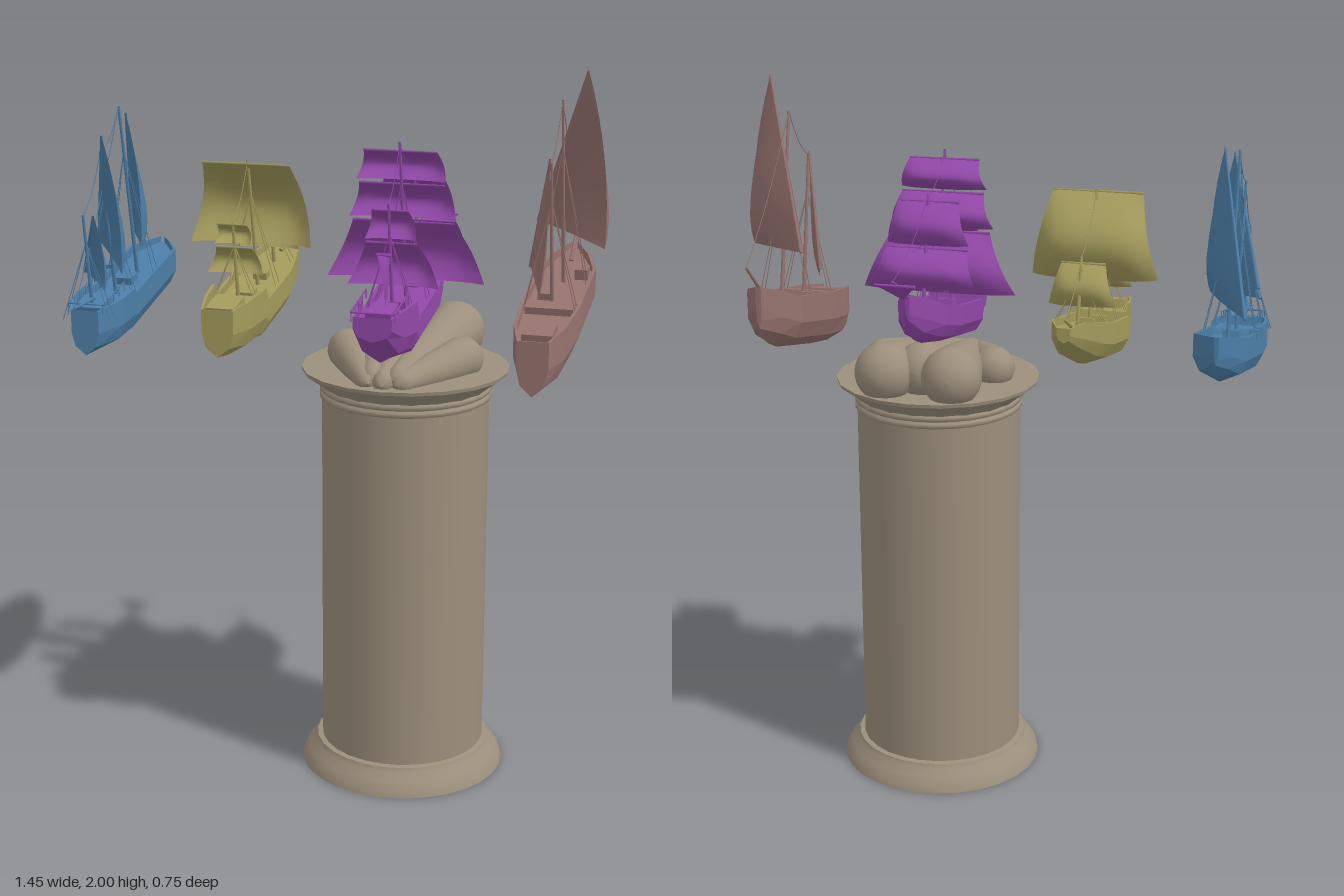
import * as THREE from 'three';

const V = (x, y, z) => new THREE.Vector3(x, y, z);
const mat = (color, opts = {}) => new THREE.MeshStandardMaterial({ color, ...opts });
const UP = V(0, 1, 0);
const PITCH = 0.2; // bow (-z) rises by this slope

function add(parent, name, geometry, material) {
  const mesh = new THREE.Mesh(geometry, material);
  mesh.name = name;
  parent.add(mesh);
  return mesh;
}

// Round spar between two points, tapering to the end
function spar(parent, name, a, b, r, material) {
  const d = b.clone().sub(a);
  const m = add(parent, name, new THREE.CylinderGeometry(r * 0.6, r, d.length(), 6), material);
  m.position.copy(a).addScaledVector(d, 0.5);
  m.quaternion.setFromUnitVectors(UP, d.normalize());
}

// Thin sagging rope
function rope(parent, a, b, sag, material) {
  const mid = a.clone().lerp(b, 0.5);
  mid.y -= sag;
  const curve = new THREE.QuadraticBezierCurve3(a, mid, b);
  add(parent, 'rope', new THREE.TubeGeometry(curve, 10, 0.0012, 4), material);
}

// Hull lofted from stern to bow; each section is [z, half width, keel, deck, rail top]
function hullGeometry(sections) {
  const pos = [], idx = [], n = 11;
  for (const [z, w, keel, deck, top] of sections) {
    const h = top - keel, iw = w * 0.88;
    const ring = [[w, top], [w, keel + h * 0.5], [w * 0.75, keel + h * 0.2], [0, keel],
      [-w * 0.75, keel + h * 0.2], [-w, keel + h * 0.5], [-w, top],
      [-iw, top], [-iw, deck], [iw, deck], [iw, top]];
    for (const [x, y] of ring) pos.push(x, y - PITCH * z, z);
  }
  const last = (sections.length - 1) * n;
  for (let i = 0; i < last; i += n) {
    for (let j = 0; j < n; j++) {
      const k = (j + 1) % n;
      idx.push(i + j, i + k, i + n + j, i + k, i + n + k, i + n + j);
    }
  }
  for (let j = 1; j < 6; j++) {
    idx.push(0, j + 1, j);
    idx.push(last, last + j, last + j + 1);
  }
  const g = new THREE.BufferGeometry();
  g.setAttribute('position', new THREE.Float32BufferAttribute(pos, 3));
  g.setIndex(idx);
  g.computeVertexNormals();
  return g;
}

// Square sail rolled forward like part of a drum, wings swept aft, raked like its mast
function squareSail(parent, mastZ, deckY, [top, bottom, wTop, wBottom], bulge, m) {
  const g = new THREE.PlaneGeometry(1, 1, 12, 8), p = g.attributes.position;
  const zAt = y => mastZ + PITCH * (y - deckY);
  for (let i = 0; i < p.count; i++) {
    const u = p.getX(i) * 2, v = p.getY(i) + 0.5;
    const y = bottom + (top - bottom) * v;
    const belly = Math.sin(Math.PI * v) * (1 - 0.4 * u ** 4) + 0.25 * (1 - v) - 0.45 * u ** 4 * (1 - v);
    p.setXYZ(i, u * (wBottom + (wTop - wBottom) * v) / 2, y, zAt(y) - bulge * belly);
  }
  g.computeVertexNormals();
  add(parent, 'squareSail', g, m.sail);
  spar(parent, 'yard', V(-wTop / 2, top, zAt(top)), V(wTop / 2, top, zAt(top)), 0.004, m.wood);
}

// Three-cornered sail hung from a yard (peak to tack)
function lateenSail(parent, peak, tack, clew, bulge, m) {
  const g = new THREE.PlaneGeometry(1, 1, 10, 8), p = g.attributes.position;
  for (let i = 0; i < p.count; i++) {
    const u = p.getX(i) + 0.5, v = p.getY(i) + 0.5;
    const q = tack.clone().lerp(peak, u).lerp(clew, v);
    q.x += bulge * 4 * v * (1 - v) * Math.sin(Math.PI * (0.05 + 0.8 * u));
    p.setXYZ(i, q.x, q.y, q.z);
  }
  g.computeVertexNormals();
  add(parent, 'lateenSail', g, m.sail);
  spar(parent, 'slantingYard', tack, peak, 0.005, m.wood);
}

function ship(name, x, color, { sections, masts, deck, boxes, bowsprit, squares = [], lateens = [], rail }) {
  const g = new THREE.Group();
  g.name = name;
  g.position.x = x;
  const m = { wood: mat(color), hull: mat(color, { flatShading: true }), sail: mat(color, { side: THREE.DoubleSide }) };
  add(g, 'hull', hullGeometry(sections), m.hull);

  // Cabins and hatches [x, z, width, height, depth]
  for (const [bx, z, w, h, d] of boxes) {
    const b = add(g, 'deckHouse', new THREE.BoxGeometry(w, h, d), m.wood);
    b.position.set(bx, deck - PITCH * z + h / 2, z);
    b.rotation.x = Math.atan(PITCH);
  }

  // Masts [z at deck, tip height], shrouds and stays
  const tips = masts.map(([z, tip]) => V(0, tip, z + PITCH * (tip - deck)));
  masts.forEach(([z], i) => {
    const foot = V(0, deck - PITCH * z - 0.02, z);
    spar(g, 'mast', foot, tips[i], 0.006, m.wood);
    const head = foot.clone().lerp(tips[i], 0.75);
    for (const s of [-1, 1]) for (const dz of [0.02, 0.05]) {
      rope(g, head, V(s * 0.07, deck - PITCH * (z + dz) + 0.01, z + dz), 0, m.wood);
    }
    rope(g, tips[i], i ? tips[i - 1] : bowsprit[1], 0.05, m.wood);
  });
  spar(g, 'bowsprit', ...bowsprit, 0.006, m.wood);

  // Stern railing
  if (rail) {
    const [z0, z1, w, y] = rail;
    const at = (s, z, h) => V(s * w, y + h - PITCH * z, z);
    for (const s of [-1, 1]) {
      spar(g, 'railing', at(s, z0, 0.025), at(s, z1, 0.025), 0.003, m.wood);
      for (let k = 0; k <= 4; k++) {
        const z = z0 + (z1 - z0) * k / 4;
        spar(g, 'railPost', at(s, z, 0), at(s, z, 0.025), 0.002, m.wood);
      }
    }
    spar(g, 'railing', at(-1, z0, 0.025), at(1, z0, 0.025), 0.003, m.wood);
  }
  for (const [z, bulge, ...sails] of squares) sails.forEach(s => squareSail(g, z, deck, s, bulge, m));
  for (const [peak, tack, clew, bulge] of lateens) lateenSail(g, V(...peak), V(...tack), V(...clew), bulge, m);
  return g;
}

// Rounded boulder, slim at the front and bulbous at the back
function boulder(parent, a, b, r, R, material) {
  const d = b.clone().sub(a), L = d.length(), pts = [];
  pts.push(new THREE.Vector2(0, -r), new THREE.Vector2(r * 0.7, -r * 0.7), new THREE.Vector2(r, 0));
  pts.push(new THREE.Vector2((r + R) * 0.53, L * 0.5));
  for (let i = 0; i <= 8; i++) {
    const t = i / 8 * Math.PI / 2;
    pts.push(new THREE.Vector2(Math.max(0, R * Math.cos(t)), L + R * Math.sin(t)));
  }
  const m = add(parent, 'boulder', new THREE.LatheGeometry(pts, 20), material);
  m.position.copy(a);
  m.quaternion.setFromUnitVectors(UP, d.normalize());
}

export function createModel() {
  const root = new THREE.Group();
  root.name = 'shipsOnPedestal';

  // Pedestal: each band is a separate lathe so its edges stay sharp
  const stone = mat(0x9c8f7c);
  const pedestal = new THREE.Group();
  pedestal.name = 'pedestal';
  pedestal.position.set(0.181, 0, 0.024);
  root.add(pedestal);
  const band = (name, pts, sides = 28) => add(pedestal, name, new THREE.LatheGeometry(pts.map(p => new THREE.Vector2(...p)), sides), stone);
  band('baseUnderside', [[0, 0], [0.29, 0]]);
  band('base', [[0.29, 0], [0.284, 0.02], [0.27, 0.04], [0.252, 0.06], [0.247, 0.072]]);
  band('baseTop', [[0.247, 0.072], [0.232, 0.074]]);
  band('shaft', [[0.232, 0.07], [0.232, 1.13]]);
  for (const y of [1.1, 1.12]) band('neckRing', [[0.23, y - 0.01], [0.238, y - 0.005], [0.238, y + 0.005], [0.23, y + 0.012]]);
  band('capital', [[0.232, 1.125], [0.24, 1.135], [0.257, 1.147], [0.286, 1.168]], 20);
  band('capitalEdge', [[0.286, 1.168], [0.288, 1.178]], 20);
  band('capitalTop', [[0.288, 1.178], [0, 1.18]], 20);

  // Boulders fanned out under the middle ship
  const rocks = new THREE.Group();
  rocks.name = 'boulders';
  rocks.position.x = 0.18;
  root.add(rocks);
  for (const s of [-1, 1]) {
    boulder(rocks, V(s * 0.05, 1.19, 0.25), V(s * 0.16, 1.21, 0.03), 0.03, 0.06, stone);
    boulder(rocks, V(s * 0.035, 1.2, 0.24), V(s * 0.095, 1.235, -0.17), 0.03, 0.084, stone);
  }
  boulder(rocks, V(0, 1.19, 0.26), V(0, 1.235, -0.12), 0.03, 0.08, stone);

  // Rose two-master
  root.add(ship('roseShip', 0.587, 0x96736f, {
    deck: 1.38,
    sections: [[0.31, 0.042, 1.258, 1.385, 1.405], [0.22, 0.068, 1.24, 1.38, 1.405], [0.08, 0.08, 1.24, 1.38, 1.4],
      [-0.18, 0.08, 1.25, 1.38, 1.4], [-0.24, 0.052, 1.265, 1.39, 1.415], [-0.295, 0.008, 1.31, 1.41, 1.425]],
    masts: [[-0.13, 1.915], [0.04, 1.77]],
    boxes: [[0, 0.07, 0.13, 0.02, 0.05], [-0.03, -0.01, 0.035, 0.02, 0.03], [0.045, -0.16, 0.035, 0.03, 0.04], [0, 0.22, 0.08, 0.02, 0.08]],
    bowsprit: [V(0, 1.44, -0.24), V(0, 1.555, -0.37)],
    lateens: [[[0.075, 2, 0.04], [-0.087, 1.56, -0.19], [0.13, 1.53, 0.01], 0.045],
      [[-0.005, 1.78, 0.11], [-0.07, 1.47, 0.0], [-0.02, 1.41, 0.13], 0.015]],
  }));

  // Purple three-master with a spanker over the stern and a small sail under the bowsprit
  root.add(ship('purpleShip', 0.18, 0x9248a8, {
    deck: 1.38,
    sections: [[0.37, 0.052, 1.4, 1.44, 1.465], [0.29, 0.066, 1.31, 1.43, 1.455], [0.21, 0.08, 1.285, 1.42, 1.445], [0.2, 0.082, 1.283, 1.375, 1.4],
      [-0.02, 0.085, 1.28, 1.37, 1.395], [-0.12, 0.07, 1.285, 1.375, 1.4], [-0.2, 0.037, 1.3, 1.395, 1.42], [-0.255, 0.006, 1.36, 1.41, 1.43]],
    masts: [[-0.12, 1.71], [0.02, 1.805], [0.16, 1.66]],
    boxes: [[0, 0.27, 0.07, 0.07, 0.08], [0, 0.1, 0.05, 0.02, 0.04], [0, -0.04, 0.04, 0.02, 0.03]],
    bowsprit: [V(0, 1.44, -0.2), V(0, 1.545, -0.375)],
    rail: [0.365, 0.22, 0.058, 1.45],
    squares: [[-0.11, 0.045, [1.69, 1.575, 0.17, 0.23], [1.565, 1.46, 0.23, 0.28]],
      [0.02, 0.05, [1.78, 1.7, 0.2, 0.245], [1.69, 1.595, 0.235, 0.295], [1.585, 1.42, 0.28, 0.44]],
      [0.15, 0.045, [1.64, 1.56, 0.1, 0.14], [1.55, 1.43, 0.14, 0.25]]],
    lateens: [[[0, 1.55, 0.33], [0, 1.52, 0.2], [0.01, 1.4, 0.28], 0.01],
      [[0.055, 1.53, -0.36], [-0.055, 1.53, -0.36], [0, 1.475, -0.29], 0]],
  }));

  // Yellow ship with one great sail
  root.add(ship('yellowShip', -0.265, 0xa39a5c, {
    deck: 1.365,
    sections: [[0.31, 0.045, 1.3, 1.41, 1.43], [0.22, 0.068, 1.268, 1.4, 1.425], [0.13, 0.08, 1.258, 1.395, 1.42], [0.12, 0.082, 1.258, 1.36, 1.385],
      [-0.08, 0.082, 1.258, 1.36, 1.38], [-0.17, 0.07, 1.268, 1.365, 1.385], [-0.28, 0.045, 1.3, 1.37, 1.39], [-0.34, 0.018, 1.335, 1.365, 1.375]],
    masts: [[-0.18, 1.585], [-0.03, 1.73], [0.13, 1.58]],
    boxes: [[0, 0.24, 0.08, 0.06, 0.09], [0, 0.07, 0.05, 0.02, 0.04], [0, -0.06, 0.04, 0.02, 0.03]],
    bowsprit: [V(0, 1.42, -0.24), V(0, 1.465, -0.335)],
    squares: [[-0.15, 0.035, [1.56, 1.45, 0.12, 0.18]], [-0.01, 0.08, [1.72, 1.49, 0.25, 0.35]],
      [0.14, 0.035, [1.575, 1.52, 0.085, 0.1], [1.51, 1.435, 0.1, 0.16]]],
  }));

  // Blue lateen-rigged ship
  root.add(ship('blueShip', -0.65, 0x4d7fa8, {
    deck: 1.355,
    sections: [[0.305, 0.04, 1.275, 1.38, 1.4], [0.2, 0.072, 1.25, 1.375, 1.395], [0.12, 0.074, 1.243, 1.37, 1.39], [0.11, 0.074, 1.243, 1.35, 1.375],
      [-0.2, 0.072, 1.25, 1.35, 1.375], [-0.25, 0.035, 1.27, 1.355, 1.375], [-0.28, 0.006, 1.3, 1.36, 1.375]],
    masts: [[-0.08, 1.857], [0.08, 1.75], [0.24, 1.6]],
    boxes: [[-0.066, -0.05, 0.025, 0.03, 0.03], [-0.066, 0.04, 0.025, 0.03, 0.03], [0, 0.24, 0.08, 0.045, 0.08], [0, 0, 0.045, 0.02, 0.05]],
    bowsprit: [V(0, 1.36, 0.24), V(0, 1.36, 0.37)],
    rail: [0.295, 0.14, 0.05, 1.39],
    lateens: [[[0.05, 1.85, 0.09], [-0.06, 1.46, -0.2], [0.07, 1.46, 0.06], 0.035],
      [[0.045, 1.81, 0.25], [-0.06, 1.48, 0.05], [0.07, 1.42, 0.2], 0.035],
      [[0.05, 1.61, 0.335], [-0.05, 1.42, 0.18], [0.065, 1.4, 0.31], 0.025]],
  }));
  return root;
}
